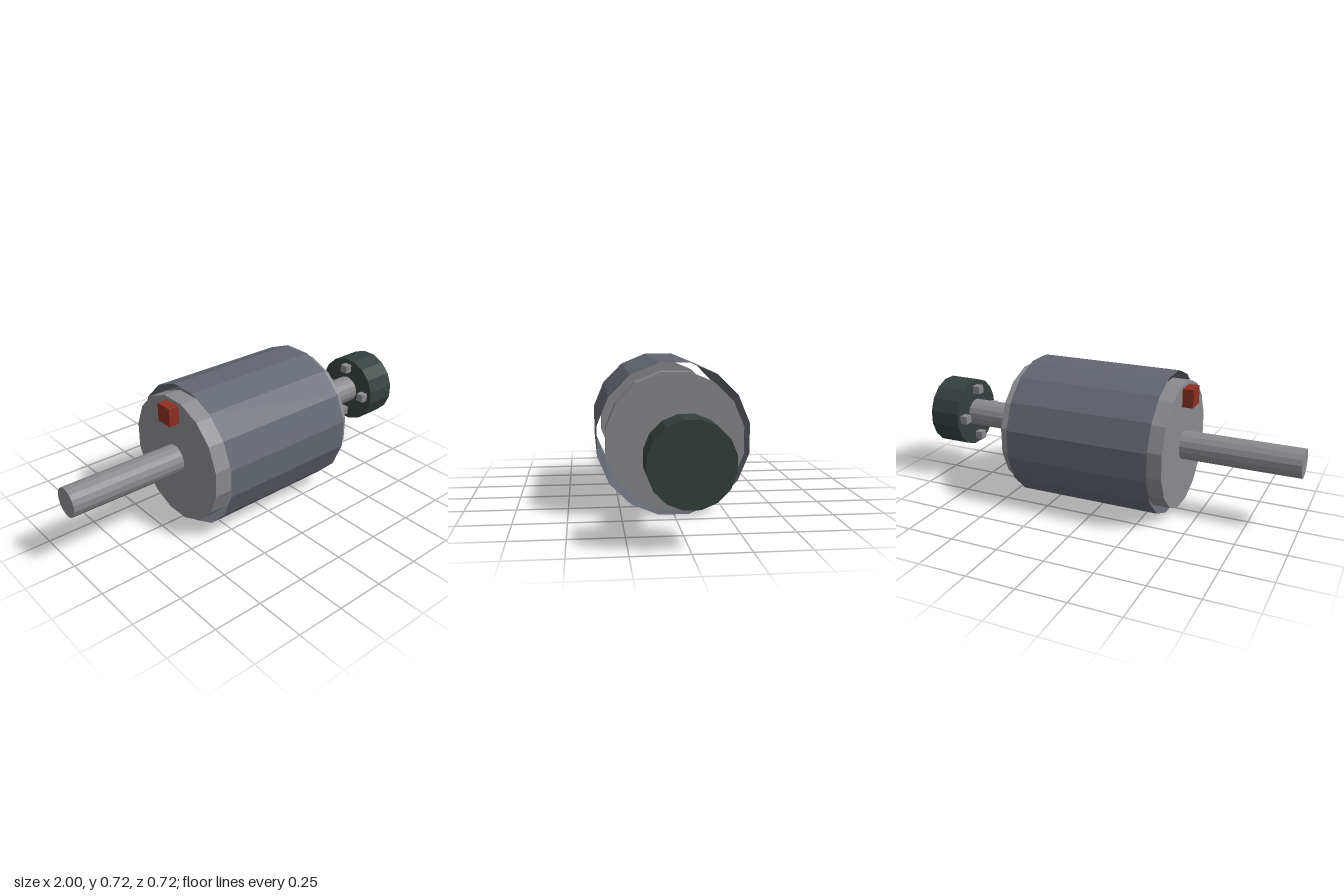
import * as THREE from 'three';

const AXIS_Y = 0.36;
const SIDES = 16;

const flat = (name, color, side = THREE.FrontSide) => {
  const m = new THREE.MeshStandardMaterial({ color, side });
  m.name = name;
  m.flatShading = true;
  return m;
};

export function createModel() {
  const group = new THREE.Group();
  const steel = flat('steel grey', 0x8a8a8e);
  const casing = flat('casing blue grey', 0x62666f, THREE.DoubleSide);
  const dark = flat('dark green grey', 0x35403e);
  const red = flat('terminal red', 0x8c2f22);

  const add = (name, geometry, material, x, y, z) => {
    const mesh = new THREE.Mesh(geometry, material);
    mesh.name = name;
    mesh.position.set(x, y, z);
    group.add(mesh);
  };

  // Faceted cylinder along x; apothem is the distance to its flat sides
  const drum = (name, x0, x1, apothem, material, open = false) => {
    const radius = apothem / Math.cos(Math.PI / SIDES);
    const g = new THREE.CylinderGeometry(radius, radius, x1 - x0, SIDES, 1, open);
    g.rotateY(Math.PI / SIDES).rotateZ(-Math.PI / 2);
    add(name, g, material, (x0 + x1) / 2, AXIS_Y, 0);
  };

  // Open sleeve with an end plate set into each end
  drum('casing', -0.34, 0.41, 0.36, casing, true);
  drum('rightEndPlate', -0.4, -0.31, 0.321, steel);
  drum('leftEndPlate', 0.38, 0.465, 0.321, steel);

  // Through shaft and the coupling hub at its end
  drum('shaft', -1, 0.84, 0.072, steel);
  drum('hub', 0.83, 1, 0.18, dark);

  // Four square pins on the inner face of the hub
  for (let i = 0; i < 4; i++) {
    const a = (i * Math.PI) / 2;
    add('hubPin', new THREE.BoxGeometry(0.06, 0.043, 0.043), steel,
      0.82, AXIS_Y + 0.134 * Math.cos(a), 0.134 * Math.sin(a));
  }

  // Terminal block on the right end plate
  add('terminalBlock', new THREE.BoxGeometry(0.07, 0.093, 0.093), red, -0.42, 0.618, 0);

  return group;
}
